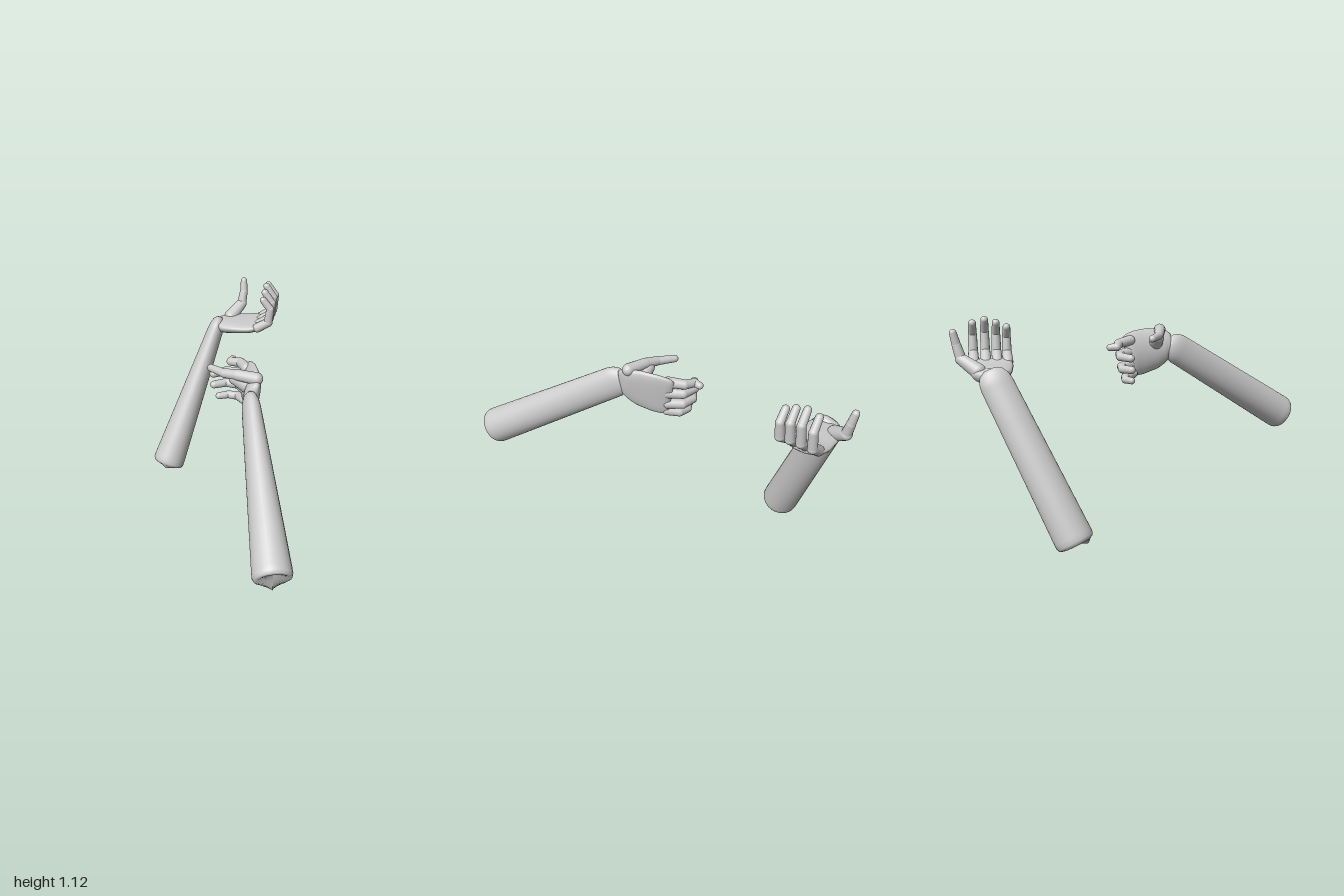
import * as THREE from 'three';

const V = (p) => new THREE.Vector3(...p);
const lerp = THREE.MathUtils.lerp;

const skin = new THREE.MeshStandardMaterial({ color: 0xcccccc });
skin.name = 'pale grey';

// Closed loft through oval sections {c, w, t}: centre, half width, half thickness.
// "wide" is the rough width direction, "cup" bends the edges towards the thickness axis.
function loft(sections, wide, cup = 0, n = 28) {
  const pos = [], idx = [], last = sections.length - 1;
  sections.forEach(({ c, w, t }, i) => {
    const d = sections[Math.min(i + 1, last)].c.clone().sub(sections[Math.max(i - 1, 0)].c).normalize();
    const u = wide.clone().addScaledVector(d, -wide.dot(d)).normalize();
    const v = d.clone().cross(u);
    for (let k = 0; k < n; k++) {
      const a = (k / n) * Math.PI * 2, cos = Math.cos(a);
      const p = c.clone().addScaledVector(u, w * cos)
        .addScaledVector(v, t * Math.sin(a) + cup * (cos * cos - 0.4));
      pos.push(p.x, p.y, p.z);
    }
  });
  for (let i = 0; i < last; i++) for (let k = 0; k < n; k++) {
    const a = i * n + k, b = i * n + (k + 1) % n;
    idx.push(a, b, b + n, a, b + n, a + n);
  }
  // end caps
  [[0, 1], [last, 0]].forEach(([i, flip]) => {
    const m = pos.length / 3, c = sections[i].c;
    pos.push(c.x, c.y, c.z);
    for (let k = 0; k < n; k++) {
      const a = i * n + k, b = i * n + (k + 1) % n;
      idx.push(m, flip ? b : a, flip ? a : b);
    }
  });
  const g = new THREE.BufferGeometry();
  g.setAttribute('position', new THREE.Float32BufferAttribute(pos, 3));
  g.setIndex(idx);
  g.computeVertexNormals();
  return g;
}

function mesh(geometry, name) {
  const m = new THREE.Mesh(geometry, skin);
  m.name = name;
  return m;
}

// Round-ended tapered limb from a to b
function limb(a, b, ra, rb, name) {
  const d = b.clone().sub(a), len = d.length(), prof = [];
  for (let i = 0; i <= 6; i++) {
    const q = -Math.PI / 2 + (i / 6) * Math.PI / 2;
    prof.push(new THREE.Vector2(Math.max(0, ra * Math.cos(q)), ra * Math.sin(q)));
  }
  for (let i = 0; i <= 6; i++) {
    const q = (i / 6) * Math.PI / 2;
    prof.push(new THREE.Vector2(Math.max(0, rb * Math.cos(q)), len + rb * Math.sin(q)));
  }
  const m = mesh(new THREE.LatheGeometry(prof, 18), name);
  m.position.copy(a);
  m.quaternion.setFromUnitVectors(new THREE.Vector3(0, 1, 0), d.normalize());
  return m;
}

// Jointed finger through a list of points
function finger(points, r0, r1, name) {
  const g = new THREE.Group(), n = points.length - 1;
  g.name = name;
  for (let i = 0; i < n; i++) {
    g.add(limb(V(points[i]), V(points[i + 1]), lerp(r0, r1, i / n), lerp(r0, r1, (i + 0.8) / n), 'fingerSegment'));
  }
  return g;
}

// Forearm: round cut end tapering to a flat oval wrist
function forearm(base, wrist, wide) {
  const rows = [[0, 0.6], [0, 0.8], [0.006, 0.92], [0.022, 0.99], [0.05, 1], [0.25, 1], [0.5, 1], [0.75, 1],
    [0.94, 1], [0.98, 0.93], [1.01, 0.75], [1.03, 0.4]];
  return mesh(loft(rows.map(([t, s]) => ({
    c: base.clone().lerp(wrist, t),
    w: lerp(0.1, 0.083, t) * s,
    t: lerp(0.096, 0.044, t) * s,
  })), wide), 'forearm');
}

// Palm: rows of [x, y, z, half width, half thickness], smoothed and rounded off at both ends
function palm(rows, wide, cup) {
  const curve = new THREE.CatmullRomCurve3(rows.map((r) => V(r)));
  const steps = 20, sections = [];
  for (let i = 0; i <= steps; i++) {
    const t = i / steps, f = t * (rows.length - 1), k = Math.min(Math.floor(f), rows.length - 2);
    const e = Math.min(1, t / 0.08, (1 - t) / 0.08);
    const s = lerp(0.65, 1, Math.sqrt(e));
    sections.push({
      c: curve.getPoint(t),
      w: lerp(rows[k][3], rows[k + 1][3], f - k) * lerp(0.9, 1, e),
      t: lerp(rows[k][4], rows[k + 1][4], f - k) * s,
    });
  }
  return mesh(loft(sections, wide, cup), 'palm');
}

export function createModel() {
  const model = new THREE.Group();
  model.name = 'reachingArms';

  // Rear arm, palm up with curled fingers
  const rear = new THREE.Group();
  rear.name = 'rearArm';
  rear.add(forearm(V([-0.435, 0.047, -0.43]), V([-0.193, 0.865, -0.8]), V([0, 0, 1])));
  rear.add(palm([
    [-0.2, 0.855, -0.81, 0.065, 0.032],
    [-0.15, 0.853, -0.805, 0.095, 0.042],
    [-0.08, 0.86, -0.8, 0.108, 0.038],
    [0.01, 0.87, -0.8, 0.117, 0.034],
    [0.085, 0.893, -0.8, 0.112, 0.028],
  ], V([0, 0, 1]), -0.014));
  [[-0.708, 0.88], [-0.762, 1], [-0.82, 1.08], [-0.882, 1]].forEach(([z, s]) => {
    const pts = [[0.06, 0], [0.122, 0.045], [0.132, 0.14], [0.09, 0.2]];
    rear.add(finger(pts.map(([x, y]) => [x, 0.89 + y * s, z]), 0.028, 0.019, 'finger'));
  });
  rear.add(limb(V([-0.13, 0.875, -0.865]), V([-0.08, 0.93, -0.945]), 0.04, 0.03, 'thumbBase'));
  rear.add(finger([[-0.08, 0.93, -0.945], [-0.072, 1.0, -0.965], [-0.075, 1.062, -0.98]], 0.027, 0.018, 'thumb'));

  // Front arm, palm sideways with hooked fingers
  const front = new THREE.Group();
  front.name = 'frontArm';
  front.add(forearm(V([0.438, 0.463, 0.95]), V([0.185, 0.935, 0.195]), V([0, 1, 0])));
  front.add(palm([
    [0.195, 0.935, 0.2, 0.07, 0.03],
    [0.19, 0.932, 0.15, 0.095, 0.04],
    [0.175, 0.92, 0.09, 0.115, 0.036],
    [0.147, 0.905, 0.01, 0.122, 0.032],
    [0.112, 0.89, -0.065, 0.115, 0.026],
  ], V([0.15, 1, 0]), 0.014));
  front.add(
    finger([[0.12, 0.975, -0.05], [0.075, 0.965, -0.12], [0.018, 0.955, -0.14], [0.022, 0.953, -0.175]], 0.028, 0.018, 'indexFinger'),
    finger([[0.12, 0.912, -0.05], [0.075, 0.908, -0.112], [0.0, 0.906, -0.125], [-0.062, 0.904, -0.08]], 0.028, 0.02, 'middleFinger'),
    finger([[0.115, 0.845, -0.045], [0.07, 0.842, -0.105], [0.0, 0.84, -0.115], [-0.058, 0.842, -0.075]], 0.027, 0.02, 'ringFinger'),
    finger([[0.11, 0.795, -0.035], [0.07, 0.784, -0.085], [0.015, 0.78, -0.095], [-0.03, 0.78, -0.07]], 0.025, 0.018, 'littleFinger'),
  );
  front.add(limb(V([0.16, 0.955, 0.1]), V([0.09, 0.99, 0.1]), 0.042, 0.032, 'thumbBase'));
  front.add(finger([[0.205, 1.02, 0.135], [0.1, 1.017, 0.11], [0.03, 1.007, 0.088], [-0.048, 1.002, 0.038]], 0.032, 0.018, 'thumb'));

  model.add(rear, front);
  return model;
}
